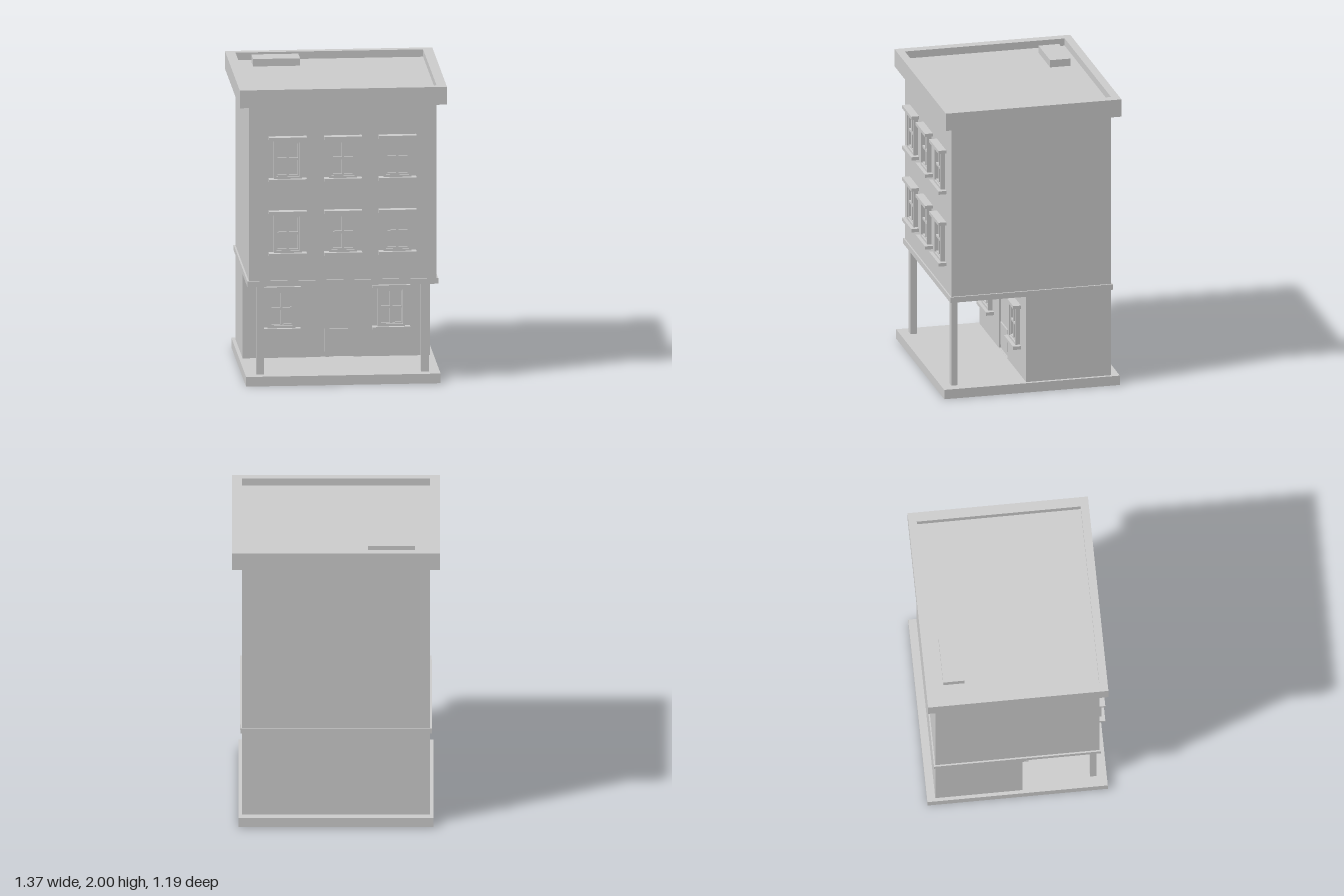
import * as THREE from 'three';

const material = new THREE.MeshStandardMaterial({ color: 0xcccccc, flatShading: true });

// Box given by its min and max extents on each axis
function box(parent, name, x0, x1, y0, y1, z0, z1) {
  const mesh = new THREE.Mesh(new THREE.BoxGeometry(x1 - x0, y1 - y0, z1 - z0), material);
  mesh.position.set((x0 + x1) / 2, (y0 + y1) / 2, (z0 + z1) / 2);
  mesh.name = name;
  parent.add(mesh);
  return mesh;
}

function addRect(path, x0, x1, y0, y1) {
  path.moveTo(x0, y0);
  path.lineTo(x1, y0);
  path.lineTo(x1, y1);
  path.lineTo(x0, y1);
  path.closePath();
  return path;
}

// Extruded rectangle with rectangular holes, each [x0, x1, y0, y1]
function panel(name, outer, holes, depth) {
  const shape = addRect(new THREE.Shape(), ...outer);
  for (const h of holes) shape.holes.push(addRect(new THREE.Path(), ...h));
  const mesh = new THREE.Mesh(new THREE.ExtrudeGeometry(shape, { depth, bevelEnabled: false }), material);
  mesh.name = name;
  return mesh;
}

// Four-pane window; origin at the wall surface, bottom centre of the sill
function createWindow() {
  const g = new THREE.Group();
  g.name = 'window';
  box(g, 'sill', -0.125, 0.125, 0, 0.023, -0.01, 0.053);
  box(g, 'lintel', -0.125, 0.125, 0.283, 0.305, -0.01, 0.053);
  g.add(panel('windowFrame', [-0.092, 0.092, 0.023, 0.283], [[-0.076, 0.076, 0.038, 0.268]], 0.03));
  const panes = [];
  for (const [x0, x1] of [[-0.067, -0.008], [0.008, 0.067]])
    for (const [y0, y1] of [[0.047, 0.145], [0.161, 0.259]]) panes.push([x0, x1, y0, y1]);
  g.add(panel('glazingBars', [-0.076, 0.076, 0.038, 0.268], panes, 0.02));
  box(g, 'glass', -0.076, 0.076, 0.038, 0.268, -0.01, 0.005);
  return g;
}

export function createModel() {
  const model = new THREE.Group();
  model.name = 'townhouse';

  // Plinth and recessed ground floor
  box(model, 'plinth', -0.643, 0.643, 0, 0.065, -0.597, 0.597);
  box(model, 'groundFloor', -0.62, 0.62, 0.065, 0.665, -0.543, 0.015);
  const front = panel('groundFloorFront', [-0.62, 0.62, 0.065, 0.665], [[-0.105, 0.12, 0.066, 0.512]], 0.02);
  front.position.z = 0.015;
  model.add(front);

  // Door with a lower panel
  const door = new THREE.Group();
  door.name = 'door';
  box(door, 'doorLeaf', -0.105, 0.12, 0.066, 0.512, 0.01, 0.022);
  box(door, 'doorPanel', -0.08, 0.095, 0.1, 0.255, 0.02, 0.032);
  model.add(door);

  // Porch posts
  for (const s of [-1, 1])
    box(model, 'porchPost', s * 0.545 - 0.025, s * 0.545 + 0.025, 0.065, 0.665, 0.487, 0.53);

  // Upper storeys over a string course
  box(model, 'stringCourse', -0.631, 0.631, 0.662, 0.7, -0.552, 0.552);
  box(model, 'upperStoreys', -0.62, 0.62, 0.7, 1.9, -0.543, 0.543);

  // Cornice with a sunken roof and a hatch
  const parapet = panel('cornice', [-0.685, 0.685, -0.597, 0.597], [[-0.62, 0.62, -0.543, 0.543]], 0.12);
  parapet.rotation.x = -Math.PI / 2;
  parapet.position.y = 1.88;
  model.add(parapet);
  box(model, 'roof', -0.62, 0.62, 1.9, 1.95, -0.543, 0.543);
  box(model, 'roofHatch', -0.52, -0.21, 1.94, 2.0, -0.48, -0.34);

  // Windows: two full rows above, and one each side of the door
  const rows = [
    { y: 1.37, z: 0.543, xs: [-0.365, 0, 0.36] },
    { y: 0.87, z: 0.543, xs: [-0.365, 0, 0.36] },
    { y: 0.248, z: 0.035, xs: [-0.365, 0.36] },
  ];
  for (const { y, z, xs } of rows)
    for (const x of xs) {
      const w = createWindow();
      w.position.set(x, y, z);
      model.add(w);
    }

  return model;
}
